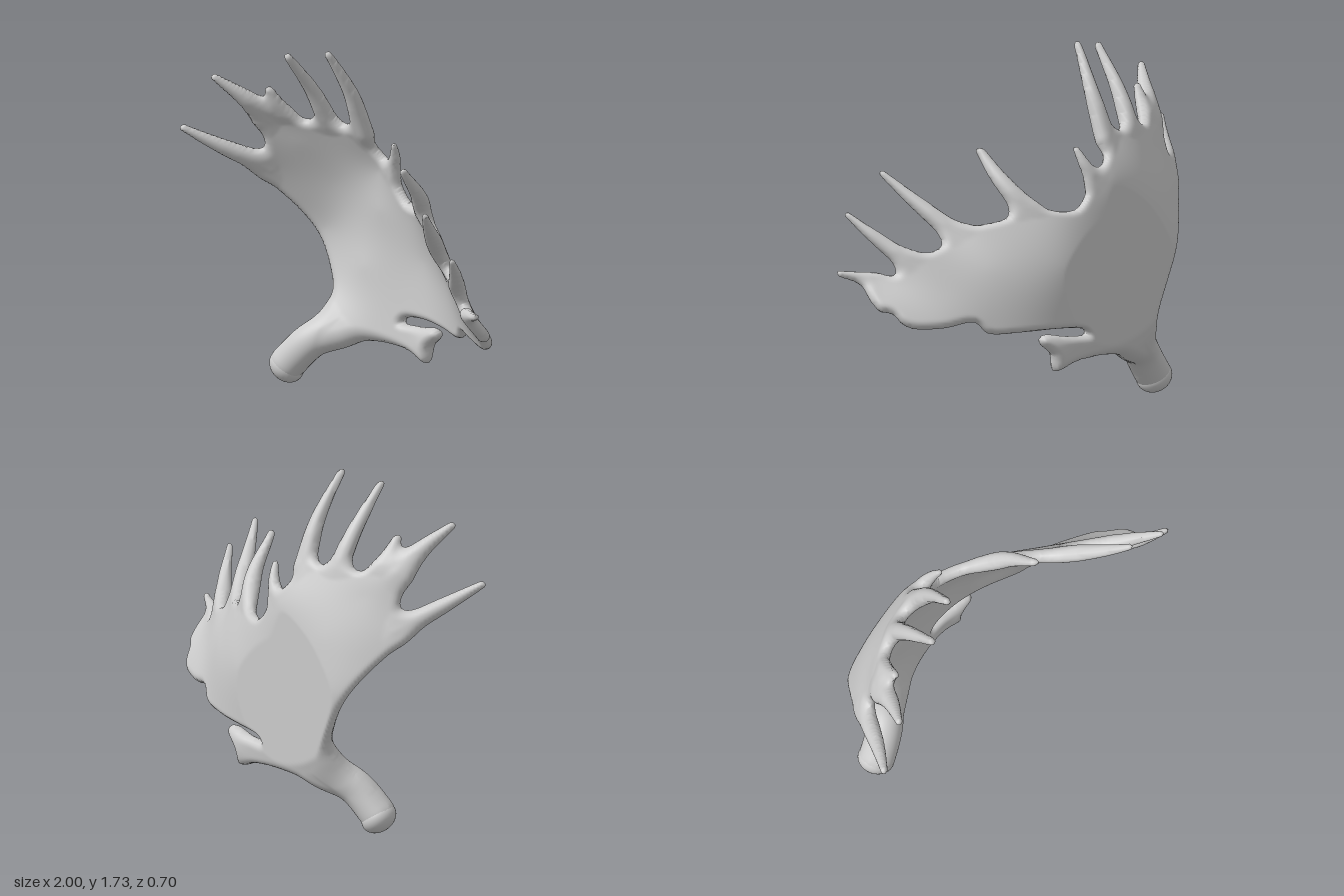
import * as THREE from 'three';

// Palm outline (x, y), clockwise from the beam, including the broken lower edge and brow stub
const OUTLINE = [
  -0.5, 0.25, -0.515, 0.36, -0.505, 0.45, -0.545, 0.57, -0.61, 0.71, -0.69, 0.85, -0.765, 0.965, -0.8, 1.03,
  -0.79, 1.09, -0.745, 1.15, -0.735, 1.28, -0.7, 1.37, -0.62, 1.36, -0.55, 1.315, -0.46, 1.325, -0.37, 1.31,
  -0.28, 1.31, -0.22, 1.22, -0.15, 1.14, -0.1, 1.11, -0.08, 1.05, -0.01, 0.97, 0.12, 0.975, 0.21, 1.0,
  0.28, 0.94, 0.4, 0.905, 0.5, 0.885, 0.55, 0.815, 0.62, 0.78, 0.71, 0.765, 0.73, 0.72, 0.77, 0.67,
  0.86, 0.645, 0.9, 0.6, 0.888, 0.52, 0.84, 0.505, 0.82, 0.465, 0.78, 0.437, 0.64, 0.435, 0.5, 0.455,
  0.45, 0.402, 0.28, 0.4, 0.1, 0.405, -0.04, 0.39, -0.06, 0.365, 0.05, 0.362, 0.19, 0.378, 0.205, 0.345,
  0.14, 0.28, 0.12, 0.198, 0.0, 0.235, -0.15, 0.25, -0.28, 0.24, -0.38, 0.2, -0.46, 0.2,
];

// Spines: three points (x, y, z), base and tip radius, and the thickest edge
const TINES = [
  [[-0.75, 1.05, -0.1], [-0.88, 1.17, 0.105], [-0.985, 1.265, 0.25], 0.055, 0.018, 0.042],
  [[-0.7, 1.32, -0.04], [-0.75, 1.43, 0.08], [-0.825, 1.535, 0.2], 0.062, 0.018, 0.042],
  [[-0.64, 1.35, -0.06], [-0.64, 1.41, -0.02], [-0.645, 1.47, 0.01], 0.04, 0.018, 0.04],
  [[-0.44, 1.31, -0.18], [-0.45, 1.5, -0.07], [-0.458, 1.68, 0.08], 0.05, 0.018, 0.042],
  [[-0.25, 1.29, -0.22], [-0.243, 1.5, -0.13], [-0.265, 1.71, 0.0], 0.054, 0.018, 0.042],
  [[-0.13, 1.1, -0.29], [-0.085, 1.18, -0.27], [-0.06, 1.25, -0.24], 0.04, 0.015, 0.035],
  [[0.2, 0.98, -0.17], [0.262, 1.11, -0.065], [0.29, 1.24, 0.06], 0.052, 0.018, 0.042],
  [[0.49, 0.87, 0.025], [0.6, 1.02, 0.195], [0.685, 1.14, 0.32], 0.05, 0.015, 0.04],
  [[0.71, 0.75, 0.12], [0.81, 0.86, 0.24], [0.885, 0.955, 0.34], 0.045, 0.014, 0.04],
  [[0.84, 0.65, 0.19], [0.91, 0.67, 0.24], [0.985, 0.688, 0.28], 0.035, 0.014, 0.032],
];
const BEAM = [[-0.638, 0.1, -0.11], [-0.535, 0.215, -0.155], [-0.4, 0.32, -0.255], 0.088, 0.085, 0.1];

// Depth of the palm's middle layer at a few places
const DEPTHS = [
  [-0.5, 0.45, -0.29], [-0.57, 0.75, -0.31], [-0.69, 0.9, -0.2], [-0.3, 0.6, -0.315], [-0.2, 0.9, -0.318],
  [-0.2, 1.1, -0.31], [-0.48, 1.0, -0.29], [-0.6, 1.2, -0.15], [0, 0.45, -0.315], [0.1, 0.7, -0.31],
  [0.05, 0.92, -0.28], [0.3, 0.45, -0.245], [0.45, 0.42, -0.18], [0.4, 0.7, -0.15], [0.4, 0.9, -0.05],
  [0.6, 0.6, -0.04], [0.65, 0.46, -0.08], [0.84, 0.53, 0.075], [0.1, 0.25, -0.29], [-0.2, 0.3, -0.29],
  [0.62, 0.78, 0.055],
];

const clamp01 = (v) => Math.min(1, Math.max(0, v));
const bump = (x, y, cx, cy, spread) => Math.exp(-((x - cx) ** 2 + (y - cy) ** 2) / spread);

// Thin-plate surface z(x, y) through the given points
function fitSurface(points) {
  const n = points.length, size = n + 3;
  const kernel = (dx, dy) => { const q = dx * dx + dy * dy; return q > 0 ? 0.5 * q * Math.log(q) : 0; };
  const m = Array.from({ length: size }, () => new Array(size + 1).fill(0));
  points.forEach((p, i) => {
    points.forEach((q, j) => { m[i][j] = kernel(p[0] - q[0], p[1] - q[1]) + (i === j ? 0.002 : 0); });
    [1, p[0], p[1]].forEach((v, k) => { m[i][n + k] = v; m[n + k][i] = v; });
    m[i][size] = p[2];
  });
  for (let c = 0; c < size; c++) {
    let best = c;
    for (let r = c + 1; r < size; r++) if (Math.abs(m[r][c]) > Math.abs(m[best][c])) best = r;
    [m[c], m[best]] = [m[best], m[c]];
    for (let r = 0; r < size; r++) {
      if (r === c) continue;
      const f = m[r][c] / m[c][c];
      if (f !== 0) for (let k = c; k <= size; k++) m[r][k] -= f * m[c][k];
    }
  }
  const w = m.map((row, i) => row[size] / row[i]);
  return (x, y) => points.reduce((s, p, i) => s + w[i] * kernel(x - p[0], y - p[1]),
    w[n] + w[n + 1] * x + w[n + 2] * y);
}

// Signed distance to a closed outline, negative inside
function outlineDistance(pts, x, y) {
  let best = Infinity, inside = false;
  for (let i = 0, j = pts.length - 1; i < pts.length; j = i++) {
    const a = pts[i], b = pts[j], ex = b.x - a.x, ey = b.y - a.y;
    const t = clamp01(((x - a.x) * ex + (y - a.y) * ey) / (ex * ex + ey * ey || 1));
    best = Math.min(best, (x - a.x - ex * t) ** 2 + (y - a.y - ey * t) ** 2);
    if ((a.y > y) !== (b.y > y) && x < a.x + (ex * (y - a.y)) / ey) inside = !inside;
  }
  return inside ? -Math.sqrt(best) : Math.sqrt(best);
}

// Distance to a tapering spine, with the edge radius at the nearest place
function spineDistance(spine, x, y) {
  let best = [Infinity, 0];
  const { pts, r0, r1, edge } = spine, n = pts.length - 1;
  for (let i = 0; i < n; i++) {
    const a = pts[i], ex = pts[i + 1].x - a.x, ey = pts[i + 1].y - a.y;
    const t = clamp01(((x - a.x) * ex + (y - a.y) * ey) / (ex * ex + ey * ey));
    const r = r0 + ((r1 - r0) * (i + t)) / n;
    const d = Math.hypot(x - a.x - ex * t, y - a.y - ey * t) - r;
    if (d < best[0]) best = [d, Math.min(r, edge)];
  }
  return best;
}

function antlerGeometry() {
  const corners = [];
  for (let i = 0; i < OUTLINE.length; i += 2) corners.push(new THREE.Vector3(OUTLINE[i], OUTLINE[i + 1], 0));
  const outline = new THREE.CatmullRomCurve3(corners, true, 'centripetal').getPoints(220);
  const spines = [...TINES, BEAM].map(([a, b, c, r0, r1, edge]) => ({
    pts: new THREE.CatmullRomCurve3([a, b, c].map((p) => new THREE.Vector3(...p))).getPoints(10), r0, r1, edge,
  }));
  const depth = fitSurface([...DEPTHS, ...[...TINES, BEAM].flatMap((t) => t.slice(0, 3))]);

  // Palm, tines and beam blended into one silhouette: [distance, edge radius],
  // thicker by the beam and at the end of the brow stub
  const field = (x, y) => {
    let d = outlineDistance(outline, x, y);
    let r = 0.031 + 0.045 * bump(x, y, -0.42, 0.28, 0.08) + 0.018 * bump(x, y, 0.13, 0.28, 0.007);
    for (const s of spines) {
      const [sd, sr] = spineDistance(s, x, y), k = 0.065;
      const h = clamp01(0.5 + (0.5 * (d - sd)) / k);
      d = d + (sd - d) * h - k * h * (1 - h);
      r = r + (sr - r) * h;
    }
    return [d, r];
  };

  const step = 0.01, nx = 207, ny = 180, x0 = -1.03, y0 = -0.03;
  const nodes = [];
  for (let j = 0; j <= ny; j++) for (let i = 0; i <= nx; i++) {
    const x = x0 + i * step, y = y0 + j * step;
    const [d, r] = field(x, y);
    nodes.push({ x, y, d, r });
  }

  const pos = [], index = [], cache = new Map();
  const add = (x, y, z) => pos.push(x, y, z) / 3 - 1;
  // Front and back vertex of an inner node, pushed off the middle layer; the back is cut flat
  const nodePair = (k) => {
    if (!cache.has(k)) {
      const { x, y, d, r } = nodes[k], e = 0.01, z = depth(x, y);
      const n = new THREE.Vector3((depth(x - e, y) - depth(x + e, y)) / (2 * e),
        (depth(x, y - e) - depth(x, y + e)) / (2 * e), 1).normalize();
      const h = r * Math.sqrt(1 - (1 - clamp01(-d / r)) ** 2);
      cache.set(k, [add(x + n.x * h, y + n.y * h, z + n.z * h),
        add(x - n.x * h, y - n.y * h, Math.max(z - n.z * h, -0.345))]);
    }
    return cache.get(k);
  };
  // Shared rim vertex between an inner and an outer node
  const rimPair = (a, b) => {
    const key = Math.min(a, b) + ':' + Math.max(a, b);
    if (!cache.has(key)) {
      const p = nodes[a], q = nodes[b], t = p.d / (p.d - q.d);
      const x = p.x + (q.x - p.x) * t, y = p.y + (q.y - p.y) * t;
      const v = add(x, y, Math.max(depth(x, y), -0.345));
      cache.set(key, [v, v]);
    }
    return cache.get(key);
  };
  for (let j = 0; j < ny; j++) for (let i = 0; i < nx; i++) {
    const k = j * (nx + 1) + i, cell = [k, k + 1, k + nx + 2, k + nx + 1], poly = [];
    cell.forEach((a, c) => {
      const b = cell[(c + 1) % 4], inA = nodes[a].d < 0, inB = nodes[b].d < 0;
      if (inA) poly.push(nodePair(a));
      if (inA !== inB) poly.push(rimPair(a, b));
    });
    for (let c = 1; c + 1 < poly.length; c++) {
      index.push(poly[0][0], poly[c][0], poly[c + 1][0]);
      index.push(poly[0][1], poly[c + 1][1], poly[c][1]);
    }
  }
  const g = new THREE.BufferGeometry();
  g.setAttribute('position', new THREE.Float32BufferAttribute(pos, 3));
  g.setIndex(index);
  g.computeVertexNormals();
  return g;
}

export function createModel() {
  const group = new THREE.Group();
  group.name = 'antler';
  const material = new THREE.MeshStandardMaterial({ color: 0xcccccc, side: THREE.DoubleSide });

  const antler = new THREE.Mesh(antlerGeometry(), material);
  antler.name = 'palmTinesAndBeam';
  group.add(antler);

  // Swollen, blunt end of the beam
  const burr = new THREE.Mesh(new THREE.SphereGeometry(1, 32, 20), material);
  burr.name = 'burr';
  burr.scale.set(0.09, 0.07, 0.09);
  burr.position.set(-0.65, 0.08, -0.108);
  burr.quaternion.setFromUnitVectors(new THREE.Vector3(0, 1, 0), new THREE.Vector3(0.62, 0.76, -0.2).normalize());
  group.add(burr);
  return group;
}
